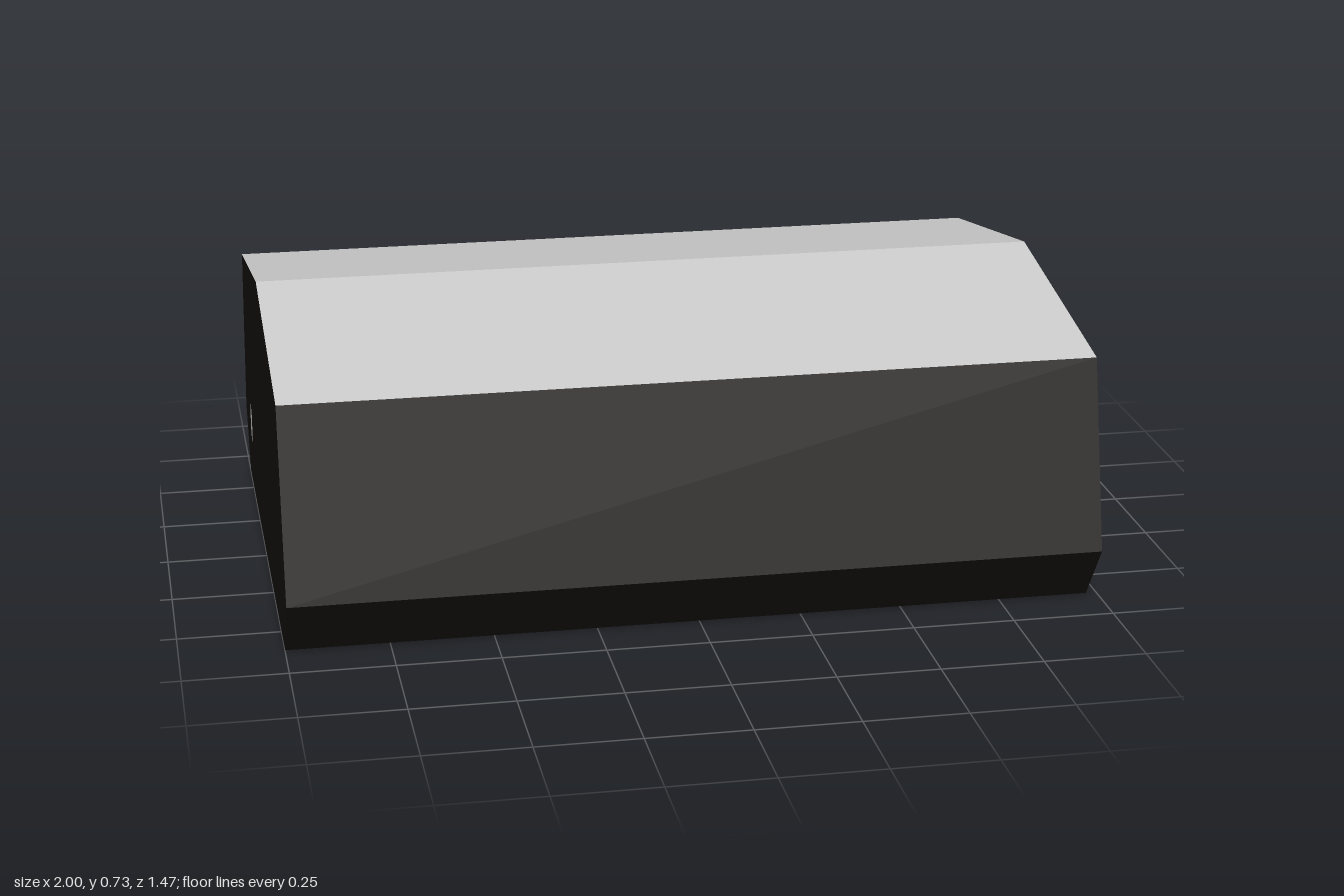
import * as THREE from 'three';

const X0 = -1, X1 = 0.97;

export function createModel() {
  const model = new THREE.Group();
  const grey = new THREE.MeshStandardMaterial({ color: 0xcccccc, side: THREE.DoubleSide });
  const dark = new THREE.MeshStandardMaterial({ color: 0x18130f, side: THREE.DoubleSide });

  const add = (name, geometry, material, x = 0, y = 0, z = 0) => {
    const mesh = new THREE.Mesh(geometry, material);
    mesh.name = name;
    mesh.position.set(x, y, z);
    model.add(mesh);
    return mesh;
  };

  // Cross-section of the hall as [-z, y], counter-clockwise seen from +x
  const profile = [
    [-0.625, 0.005], [0.625, 0.005], [0.733, 0.157], [0.625, 0.617],
    [0, 0.728], [-0.625, 0.617], [-0.733, 0.157],
  ];
  const names = ['floor', 'backLowerWall', 'backWall', 'backRoof', 'frontRoof', 'frontWall', 'frontLowerWall'];

  // One long panel per side of the cross-section
  profile.forEach(([s, y], i) => {
    const [t, v] = profile[(i + 1) % profile.length];
    const panel = new THREE.BufferGeometry();
    panel.setAttribute('position', new THREE.Float32BufferAttribute(
      [X1, y, -s, X0, y, -s, X0, v, -t, X1, v, -t], 3));
    panel.setIndex([0, 1, 2, 0, 2, 3]);
    panel.computeVertexNormals();
    add(names[i], panel, names[i].endsWith('Roof') ? grey : dark);
  });

  // Flat end walls; the far one has a small opening
  const endShape = () => new THREE.Shape(profile.map(([s, y]) => new THREE.Vector2(s, y)));
  const farShape = endShape();
  farShape.holes.push(new THREE.Path([
    [0.47, 0.14], [0.47, 0.23], [0.53, 0.23], [0.53, 0.14],
  ].map(([s, y]) => new THREE.Vector2(s, y))));
  add('doorEndWall', new THREE.ShapeGeometry(endShape()).rotateY(Math.PI / 2), dark, X1);
  // The far wall's triangles are turned so that it faces -x
  const farWall = new THREE.ShapeGeometry(farShape).rotateY(Math.PI / 2);
  farWall.setIndex([...farWall.index.array].reverse());
  farWall.computeVertexNormals();
  add('farEndWall', farWall, dark, X0);

  // Small fitting behind the opening
  add('innerFitting', new THREE.BoxGeometry(0.04, 0.06, 0.06), grey, -0.96, 0.16, -0.5);

  // Wide door slab and a thin pad under the back corner
  add('door', new THREE.BoxGeometry(0.03, 0.355, 0.97), grey, 0.985, 0.1775, -0.005);
  add('cornerPad', new THREE.BoxGeometry(0.19, 0.005, 0.31), grey, -0.9, 0.0025, -0.465);

  return model;
}
